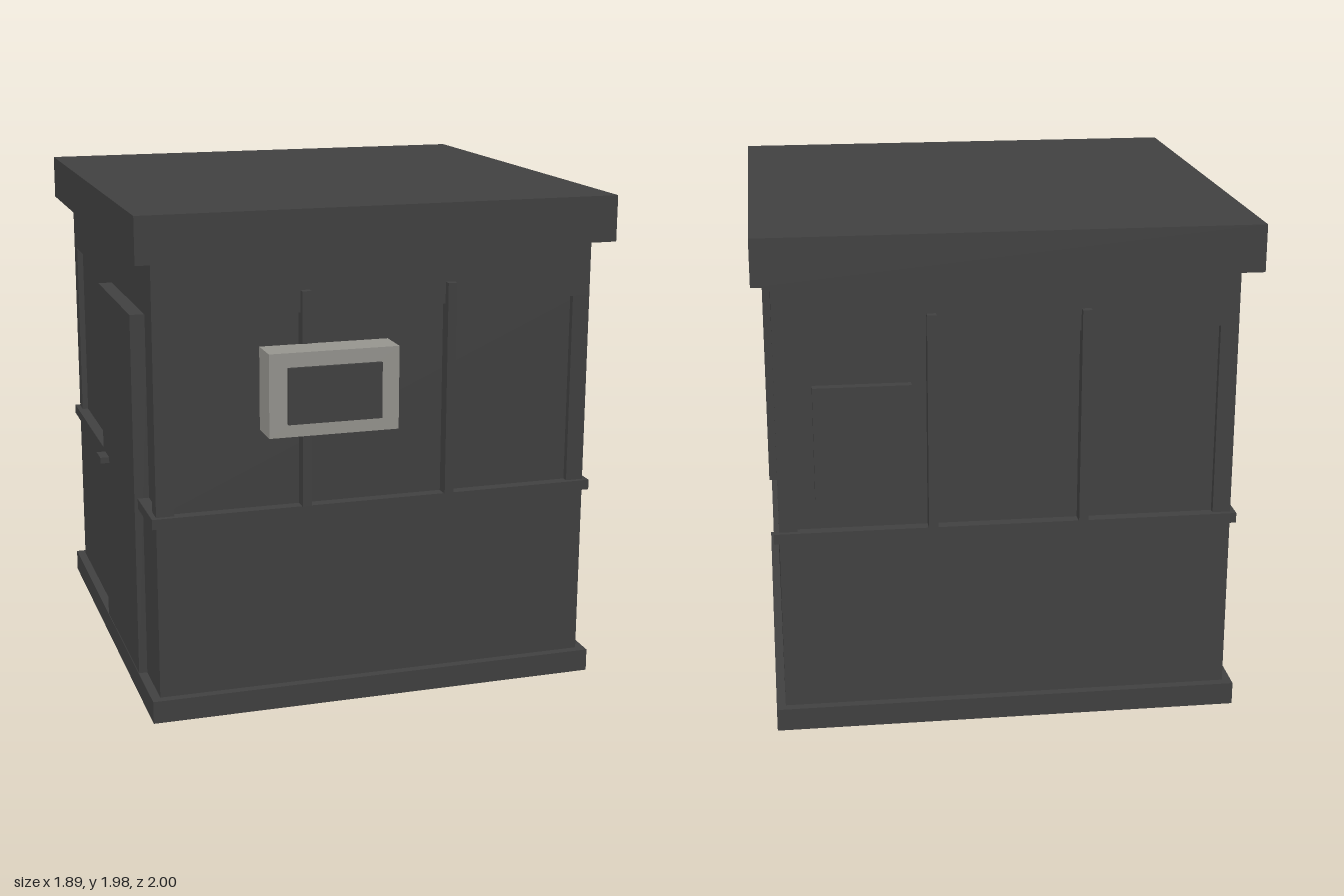
import * as THREE from 'three';

export function createModel() {
  const booth = new THREE.Group();
  booth.name = 'booth';
  const charcoal = new THREE.MeshStandardMaterial({ color: 0x414141 });
  charcoal.name = 'charcoal';
  const warmGrey = new THREE.MeshStandardMaterial({ color: 0x979690 });
  warmGrey.name = 'warm grey';

  // Box from its low and high limits on each axis
  function box(name, [x0, x1], [y0, y1], [z0, z1], material = charcoal) {
    const mesh = new THREE.Mesh(new THREE.BoxGeometry(x1 - x0, y1 - y0, z1 - z0), material);
    mesh.position.set((x0 + x1) / 2, (y0 + y1) / 2, (z0 + z1) / 2);
    mesh.name = name;
    booth.add(mesh);
  }

  // Square layers of the booth, centred slightly behind the origin
  const midZ = -0.05;
  const layer = (name, half, y0, y1, halfZ = half) =>
    box(name, [-half, half], [y0, y1], [midZ - halfZ, midZ + halfZ]);
  const wall = 0.875, recess = 0.85;
  layer('base', 0.91, 0, 0.09);
  layer('lowerWall', wall, 0.09, 0.78);
  layer('sillRail', 0.895, 0.78, 0.82);
  layer('windowPanes', recess, 0.82, 1.575);
  layer('upperWall', wall, 1.575, 1.795);
  layer('roof', 0.945, 1.795, 1.975, 0.9475);

  // Corner posts framing the recessed windows
  const span = (side, a, b) => side > 0 ? [a, b] : [-b, -a];
  for (const sx of [-1, 1]) for (const sz of [-1, 1]) {
    const z = span(sz, 0.805, wall).map(v => v + midZ);
    box('cornerPost', span(sx, 0.805, wall), [0.82, 1.575], z);
  }

  // Window bars: two each on the front, back and left side
  const barY = [0.82, 1.66], barOut = 0.905;
  for (const c of [-0.29, 0.29]) {
    box('frontBar', [c - 0.018, c + 0.018], barY, [midZ + 0.84, midZ + barOut]);
    box('backBar', [c - 0.018, c + 0.018], barY, [midZ - barOut, midZ - 0.84]);
    box('sideBar', [0.84, barOut], barY, [midZ + c - 0.018, midZ + c + 0.018]);
  }

  // Door with its handle on the right side
  box('door', [-0.908, -0.84], [0.09, 1.55], [-0.11, 0.57]);
  box('doorHandle', [-0.945, -0.9], [0.81, 0.835], [-0.07, 0.02]);

  // Raised panel in a back window
  box('backPanel', [0.365, 0.735], [0.95, 1.39], [-0.937, -0.89]);

  // Display box mounted on the front bar
  box('displayCase', [-0.475, 0.03], [1.14, 1.46], [0.85, 0.987], warmGrey);
  box('displayScreen', [-0.405, -0.04], [1.19, 1.405], [0.98, 1.0]);

  return booth;
}
